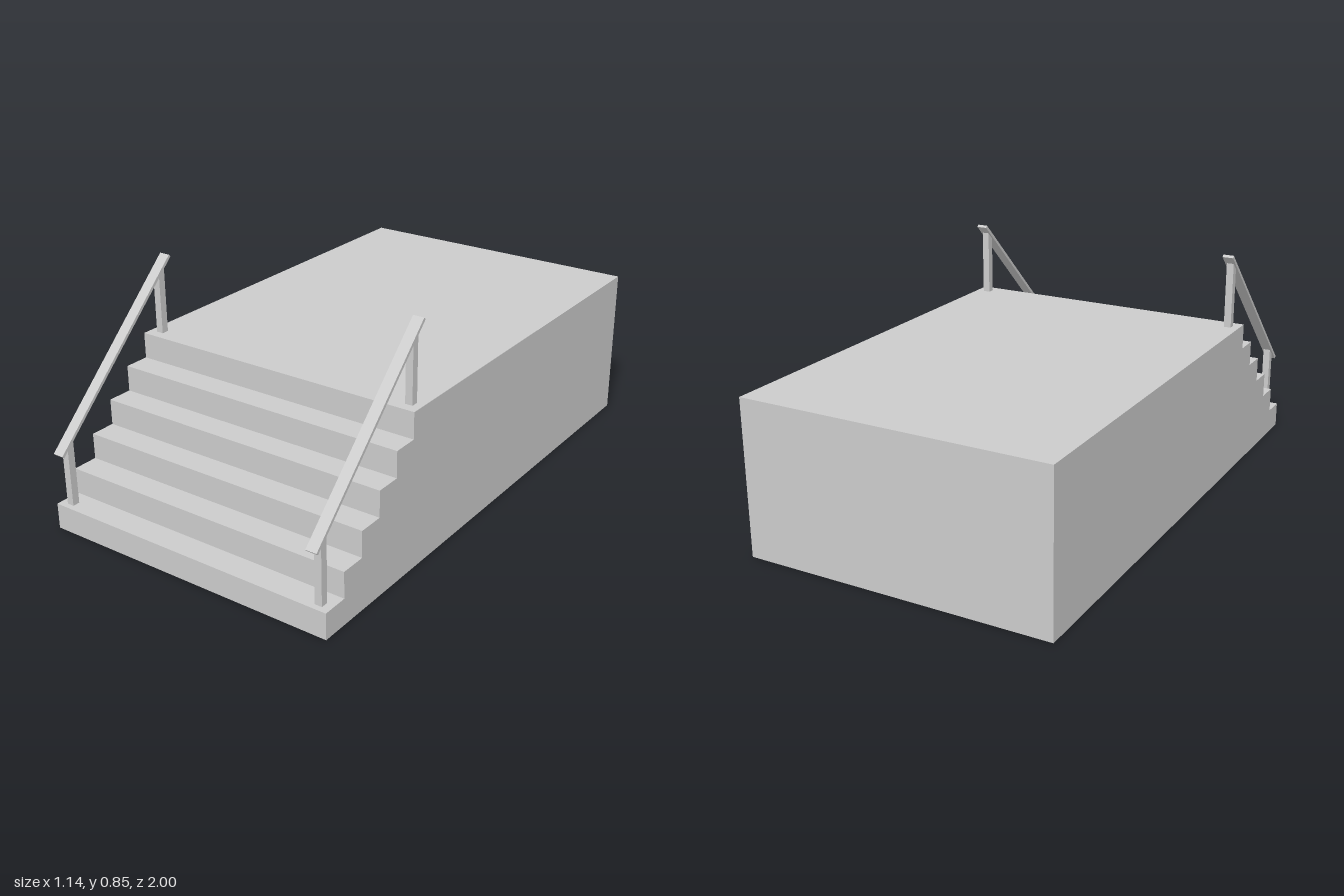
import * as THREE from 'three';

const STEPS = 6, RISE = 0.0947, RUN = 0.0943;
const HALF_WIDTH = 0.569, FRONT = 0.988, BACK = -1;
const RAIL = { x: 0.526, y: 0.57, z: 0.7125, angle: 0.772, length: 0.791, width: 0.041, thickness: 0.011 };

const material = new THREE.MeshStandardMaterial({ color: 0xcccccc, flatShading: true });

function addMesh(parent, geometry, name) {
  const mesh = new THREE.Mesh(geometry, material);
  mesh.name = name;
  parent.add(mesh);
  return mesh;
}

// Height of the rail's centre line at depth z
const railHeight = z => RAIL.y + (RAIL.z - z) * Math.tan(RAIL.angle);

// Platform and stairs: one stepped side profile, extruded across the width
function platformGeometry() {
  const shape = new THREE.Shape();
  shape.moveTo(BACK, 0);
  shape.lineTo(FRONT, 0);
  for (let i = 0; i < STEPS; i++) {
    const z = FRONT - i * RUN;
    shape.lineTo(z, (i + 1) * RISE);
    shape.lineTo(i < STEPS - 1 ? z - RUN : BACK, (i + 1) * RISE);
  }
  shape.closePath();
  const geometry = new THREE.ExtrudeGeometry(shape, { depth: 2 * HALF_WIDTH, bevelEnabled: false });
  return geometry.rotateY(-Math.PI / 2).translate(HALF_WIDTH, 0, 0);
}

// Square post whose top is cut to the slope of the rail
function postGeometry(z, base) {
  const geometry = new THREE.BoxGeometry(0.027, 1, 0.027).translate(0, 0.5, z);
  const p = geometry.attributes.position;
  for (let i = 0; i < p.count; i++) {
    p.setY(i, p.getY(i) > 0.5 ? railHeight(p.getZ(i)) : base);
  }
  geometry.computeVertexNormals();
  return geometry;
}

// Sloping handrail on its two posts
function createHandrail(name, x) {
  const group = new THREE.Group();
  group.name = name;
  group.position.x = x;
  const bar = addMesh(group, new THREE.BoxGeometry(RAIL.width, RAIL.thickness, RAIL.length), 'railBar');
  bar.position.set(0, RAIL.y, RAIL.z);
  bar.rotation.x = RAIL.angle;
  addMesh(group, postGeometry(0.954, RISE), 'lowerPost');
  addMesh(group, postGeometry(0.468, RISE * STEPS), 'upperPost');
  return group;
}

export function createModel() {
  const model = new THREE.Group();
  model.name = 'platformWithStairs';
  addMesh(model, platformGeometry(), 'steppedPlatform');
  model.add(createHandrail('leftHandrail', RAIL.x), createHandrail('rightHandrail', -RAIL.x));
  return model;
}
